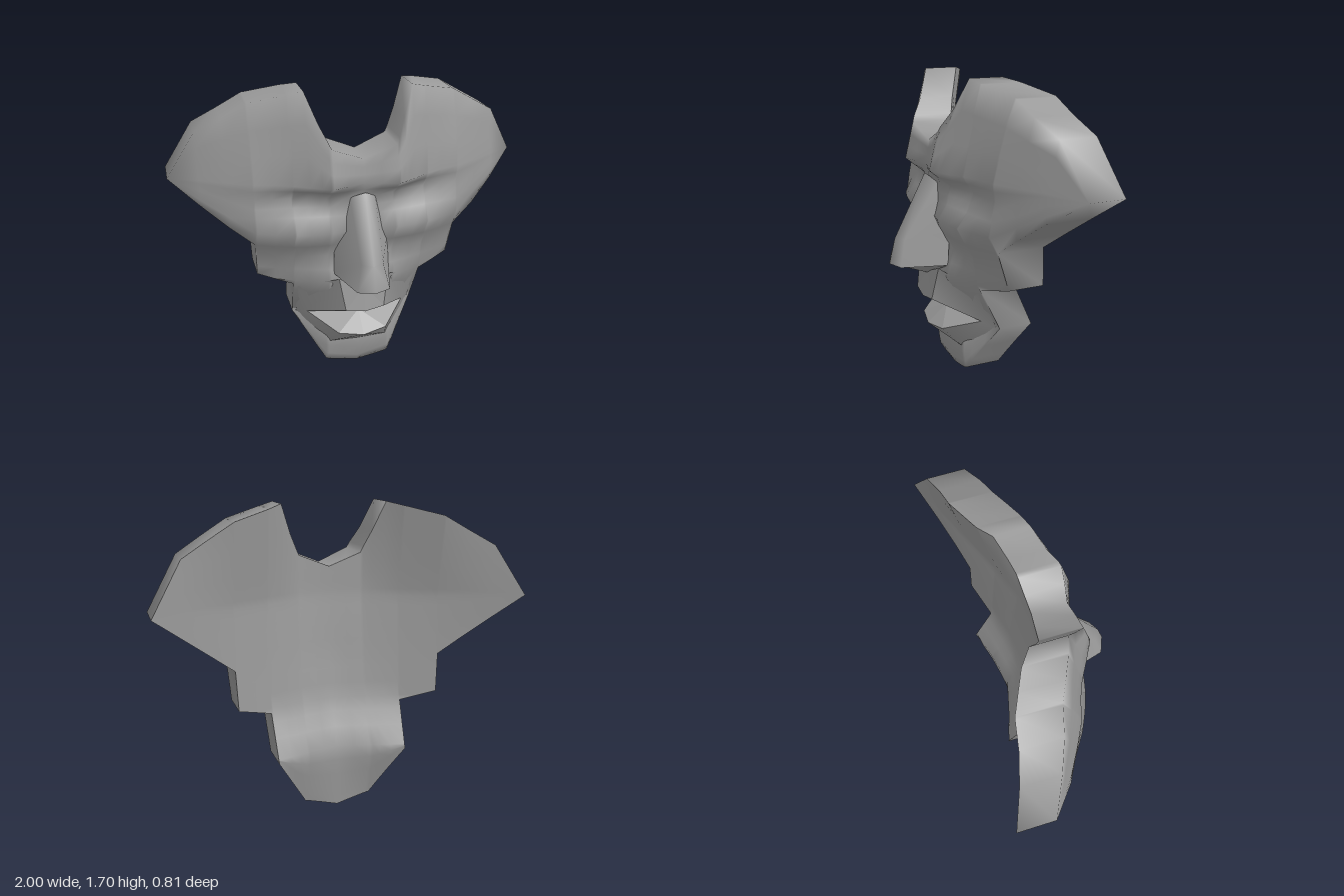
import * as THREE from 'three';
import { mergeVertices } from 'three/addons/utils/BufferGeometryUtils.js';

const material = new THREE.MeshStandardMaterial({ color: 0x999999, side: THREE.DoubleSide });

// Piecewise linear curve through [x, y] points
function along(points, x) {
  for (let i = 1; i < points.length; i++) {
    const [x0, y0] = points[i - 1], [x1, y1] = points[i];
    if (x <= x1) return y0 + (y1 - y0) * (x - x0) / (x1 - x0);
  }
  return points[points.length - 1][1];
}

// Depth of a surface from a few horizontal profiles, listed bottom to top
function depth(profiles, columns, x, y) {
  return along(profiles.map(([h, ...zs]) =>
    [h, along(zs.map((z, i) => [columns[i], z]), Math.abs(x))]), Math.max(0, y));
}

// Half outline of the mask
const upper = [[0, 1.35], [0.175, 1.42], [0.23, 1.54], [0.29, 1.7], [0.565, 1.63], [0.84, 1.47], [1, 1.2]];
const lower = [[0, 0], [0.19, 0.05], [0.365, 0.34], [0.375, 0.59], [0.565, 0.645], [0.575, 0.86], [1, 1.2]];

// Relief of the face: height, then z at each column
const faceX = [0, 0.18, 0.3, 0.42, 0.57, 0.8, 1];
const faceZ = [
  [0, 0.01, 0.01, -0.05, -0.12, -0.2, -0.2, -0.2],
  [0.05, 0.04, 0.03, -0.05, -0.12, -0.2, -0.2, -0.2],
  [0.19, 0.06, 0.05, -0.05, -0.13, -0.2, -0.2, -0.2],
  [0.36, 0.03, -0.01, -0.06, -0.13, -0.18, -0.2, -0.2],
  [0.46, 0.07, 0.06, 0.01, -0.07, -0.13, -0.2, -0.2],
  [0.62, 0.14, 0.14, 0.08, 0.02, -0.05, -0.1, -0.2],
  [0.78, 0.11, 0.1, 0.085, 0.06, -0.01, -0.1, -0.2],
  [0.95, 0.16, 0.19, 0.18, 0.15, 0.08, -0.07, -0.2],
  [1.03, 0.16, 0.14, 0.12, 0.1, 0.07, -0.06, -0.2],
  [1.13, 0.16, 0.12, 0.08, 0.065, 0.05, -0.05, -0.2],
  [1.22, 0.18, 0.235, 0.17, 0.1, 0.06, -0.06, -0.21],
  [1.45, 0.15, 0.18, 0.12, 0.06, 0.01, -0.11, -0.23],
  [1.7, 0.06, 0.06, 0.06, 0.01, -0.08, -0.16, -0.24],
];
const backX = [0, 0.18, 0.37, 0.57, 0.8, 1];
const backZ = [
  [0, -0.18, -0.17, -0.2, -0.3, -0.3, -0.4],
  [0.34, -0.2, -0.245, -0.295, -0.3, -0.32, -0.4],
  [0.59, -0.1, -0.13, -0.175, -0.25, -0.32, -0.4],
  [0.86, -0.06, -0.09, -0.15, -0.23, -0.32, -0.4],
  [1.2, -0.03, -0.05, -0.12, -0.21, -0.32, -0.41],
  [1.7, -0.03, -0.04, -0.19, -0.29, -0.33, -0.4],
];
const front = (x, y) => depth(faceZ, faceX, x, y);
const back = (x, y) => depth(backZ, backX, x, y);

const half = [0.09, 0.175, 0.19, 0.23, 0.29, 0.365, 0.375, 0.47, 0.565, 0.575, 0.7, 0.84, 1];
const xs = [...half.map(x => -x).reverse(), 0, ...half];
const rows = [0, 0.05, 0.12, 0.19, 0.28, 0.36, 0.46, 0.54, 0.62, 0.7, 0.78, 0.86, 0.95,
  1.03, 1.08, 1.13, 1.18, 1.22, 1.38, 1.54, 1.7];

function geometry(positions, index) {
  const g = new THREE.BufferGeometry();
  g.setAttribute('position', new THREE.Float32BufferAttribute(positions, 3));
  g.setIndex(index);
  return g;
}

function addMesh(group, name, g) {
  g.computeVertexNormals();
  const mesh = new THREE.Mesh(g, material);
  mesh.name = name;
  group.add(mesh);
}

// Strip-by-strip grid over the columns: section(x) lists the points of one column
function loft(section, reversed) {
  const p = [], index = [];
  xs.forEach((x, i) => {
    const points = section(x), n = points.length;
    points.forEach((point, j) => {
      p.push(...point);
      if (i === 0 || j === 0) return;
      const a = (i - 1) * n + j - 1, b = a + n, c = b + 1, d = a + 1;
      index.push(...(reversed ? [a, c, b, a, d, c] : [a, b, c, a, c, d]));
    });
  });
  return mergeVertices(geometry(p, index));
}

// Heights of one column: rows slant with the chin, wing and top edges, held inside the outline
function heights(x) {
  const y0 = along(lower, Math.abs(x)), y1 = along(upper, Math.abs(x));
  const slant = [[0, Math.min(0.35, y0)], [0.36, 0.36], [0.86, 0.86], [0.861, Math.max(0.861, y0)],
    [1.22, 1.22], [1.7, y1]];
  return rows.map(y => Math.min(y1, Math.max(y0, along(slant, y))));
}

// Face column continuing over the rim at both ends, so the edge shades softly
function faceSection(x) {
  const ys = heights(x), y0 = ys[0], y1 = ys[ys.length - 1];
  return [[x, y0, back(x, y0)], ...ys.map(y => [x, y, front(x, y)]), [x, y1, back(x, y1)]];
}

const backSection = x => heights(x).map(y => [x, y, back(x, y)]);

// Triangles given for the left half and mirrored to the right
function mirrored(points, faces, smooth) {
  const n = points.length;
  const p = [...points, ...points.map(([x, y, z]) => [-x, y, z])].flat();
  const index = faces.flatMap(([a, b, c]) => [a, b, c, a + n, c + n, b + n]);
  const g = geometry(p, index);
  return smooth ? mergeVertices(g) : g.toNonIndexed();
}

export function createModel() {
  const model = new THREE.Group();
  model.name = 'mask';

  // Curved shell
  addMesh(model, 'face', loft(faceSection, false));
  addMesh(model, 'innerSurface', loft(backSection, true));

  // Nose: smooth ridge and sides, flat underside
  const nose = [[0, 1.17, 0.19], [0.07, 1.13, 0.14], [0, 0.82, 0.37], [0.06, 0.82, 0.335],
    [0.15, 0.87, 0.11], [0, 0.675, 0.405], [0.09, 0.675, 0.37], [0.16, 0.675, 0.12], [0, 0.59, 0.18]];
  addMesh(model, 'nose', mirrored(nose, [[0, 2, 3], [0, 3, 1], [2, 5, 6], [2, 6, 3],
    [1, 3, 4], [3, 6, 7], [3, 7, 4]], true));
  addMesh(model, 'noseUnderside', mirrored(nose, [[5, 8, 7], [5, 7, 6]], false));

  // Mouth: lips meeting at sunken corners, with sides running out to the jaw
  const lips = [[0, 0.6, 0.18], [0.14, 0.66, 0.17], [0.11, 0.47, 0.2], [0, 0.455, 0.21],
    [0.29, 0.37, -0.02], [0.35, 0.57, 0.03], [0, 0.385, 0.06], [0.14, 0.295, 0.15],
    [0, 0.28, 0.18], [0, 0.18, 0.05], [0.17, 0.18, 0.04], [0.345, 0.32, -0.1]];
  addMesh(model, 'upperLip', mirrored(lips, [[0, 3, 2], [0, 2, 1]], false));
  addMesh(model, 'mouthSides', mirrored(lips, [[1, 2, 4], [1, 4, 5], [4, 11, 5], [8, 9, 10],
    [8, 10, 7], [7, 10, 4], [10, 11, 4]], true));
  addMesh(model, 'upperLipUnderside', mirrored(lips, [[3, 6, 4], [3, 4, 2]], false));
  addMesh(model, 'lowerLip', mirrored(lips, [[6, 8, 7], [6, 7, 4]], false));
  return model;
}
